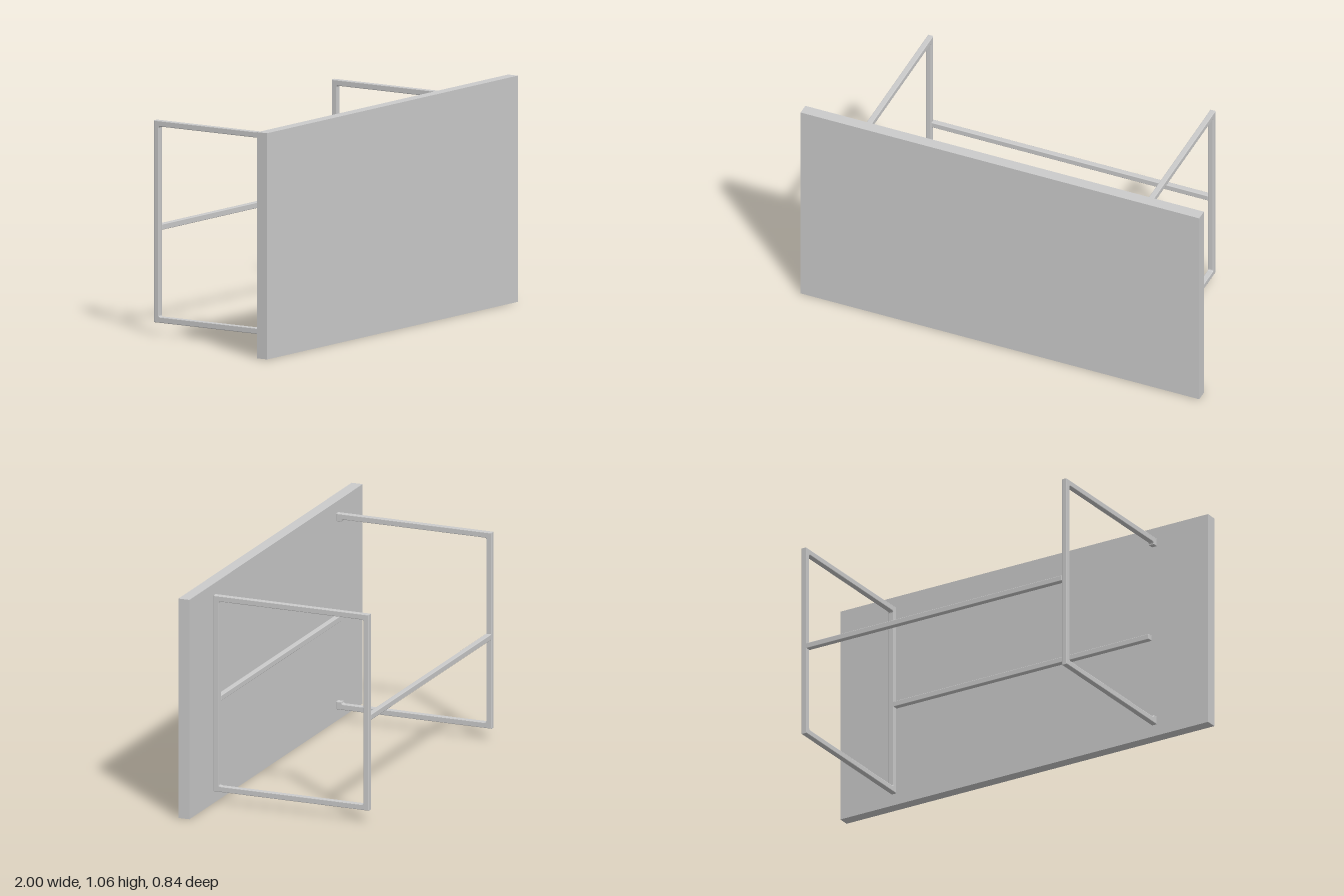
import * as THREE from 'three';
import { RoundedBoxGeometry } from 'three/addons/geometries/RoundedBoxGeometry.js';

const BAR = 0.027;                       // square tube thickness
const BACK = -0.417, FRONT = 0.363;      // leg frame extent in z
const LOW = 0.057, HIGH = 1.0;           // leg frame extent in y
const FRAME_X = 0.708;                   // frame centre line
const FILLET = 0.008, BEVEL = 0.003;

const material = new THREE.MeshStandardMaterial({ color: 0xcccccc });

function add(parent, name, geometry, x, y, z) {
  const mesh = new THREE.Mesh(geometry, material);
  mesh.name = name;
  mesh.position.set(x, y, z);
  parent.add(mesh);
}

// Extrude a (z, y) profile to bar thickness, centred across x
function extrudeProfile(shape) {
  const depth = BAR - 2 * BEVEL;
  const geometry = new THREE.ExtrudeGeometry(shape, {
    depth, bevelEnabled: true, bevelThickness: BEVEL, bevelSize: BEVEL,
    bevelOffset: -BEVEL, bevelSegments: 2, curveSegments: 4,
  });
  geometry.translate(0, 0, -depth / 2);
  geometry.rotateY(-Math.PI / 2);
  return geometry;
}

// Rectangular frame with softly filleted inner corners
function closedFrame() {
  const shape = new THREE.Shape([
    new THREE.Vector2(BACK, LOW), new THREE.Vector2(FRONT, LOW),
    new THREE.Vector2(FRONT, HIGH), new THREE.Vector2(BACK, HIGH),
  ]);
  const a = BACK + BAR, b = FRONT - BAR, c = LOW + BAR, d = HIGH - BAR, r = FILLET;
  const hole = new THREE.Path();
  hole.moveTo(a + r, c);
  hole.quadraticCurveTo(a, c, a, c + r);
  hole.lineTo(a, d - r);
  hole.quadraticCurveTo(a, d, a + r, d);
  hole.lineTo(b - r, d);
  hole.quadraticCurveTo(b, d, b, d - r);
  hole.lineTo(b, c + r);
  hole.quadraticCurveTo(b, c, b - r, c);
  shape.holes.push(hole);
  return extrudeProfile(shape);
}

// The same frame without its upright against the panel, leaving short corner stubs
function openFrame() {
  const a = BACK + BAR, b = FRONT - BAR, c = LOW + BAR, d = HIGH - BAR, r = FILLET;
  const stub = 0.011;
  const shape = new THREE.Shape();
  shape.moveTo(BACK, LOW);
  shape.lineTo(FRONT, LOW);
  shape.lineTo(FRONT, c + stub);
  shape.lineTo(b, c + stub);
  shape.quadraticCurveTo(b, c, b - r, c);
  shape.lineTo(a + r, c);
  shape.quadraticCurveTo(a, c, a, c + r);
  shape.lineTo(a, d - r);
  shape.quadraticCurveTo(a, d, a + r, d);
  shape.lineTo(b - r, d);
  shape.quadraticCurveTo(b, d, b, d - stub);
  shape.lineTo(FRONT, d - stub);
  shape.lineTo(FRONT, HIGH);
  shape.lineTo(BACK, HIGH);
  shape.closePath();
  return extrudeProfile(shape);
}

export function createModel() {
  const table = new THREE.Group();
  table.name = 'tableOnItsSide';

  // Table top standing upright on its long edge
  add(table, 'tableTop', new THREE.BoxGeometry(2, 1.056, 0.055), 0, 0.528, 0.3905);

  // Leg frames
  add(table, 'leftLegFrame', closedFrame(), FRAME_X, 0, 0);
  add(table, 'rightLegFrame', openFrame(), -FRAME_X, 0, 0);

  // Long rails joining the two frames
  const length = 2 * FRAME_X - BAR;
  for (const [name, z] of [['topRail', FRONT - BAR / 2], ['footRail', BACK + BAR / 2]]) {
    add(table, name, new RoundedBoxGeometry(length, BAR, BAR, 2, BEVEL), 0, 0.5, z);
  }
  return table;
}
